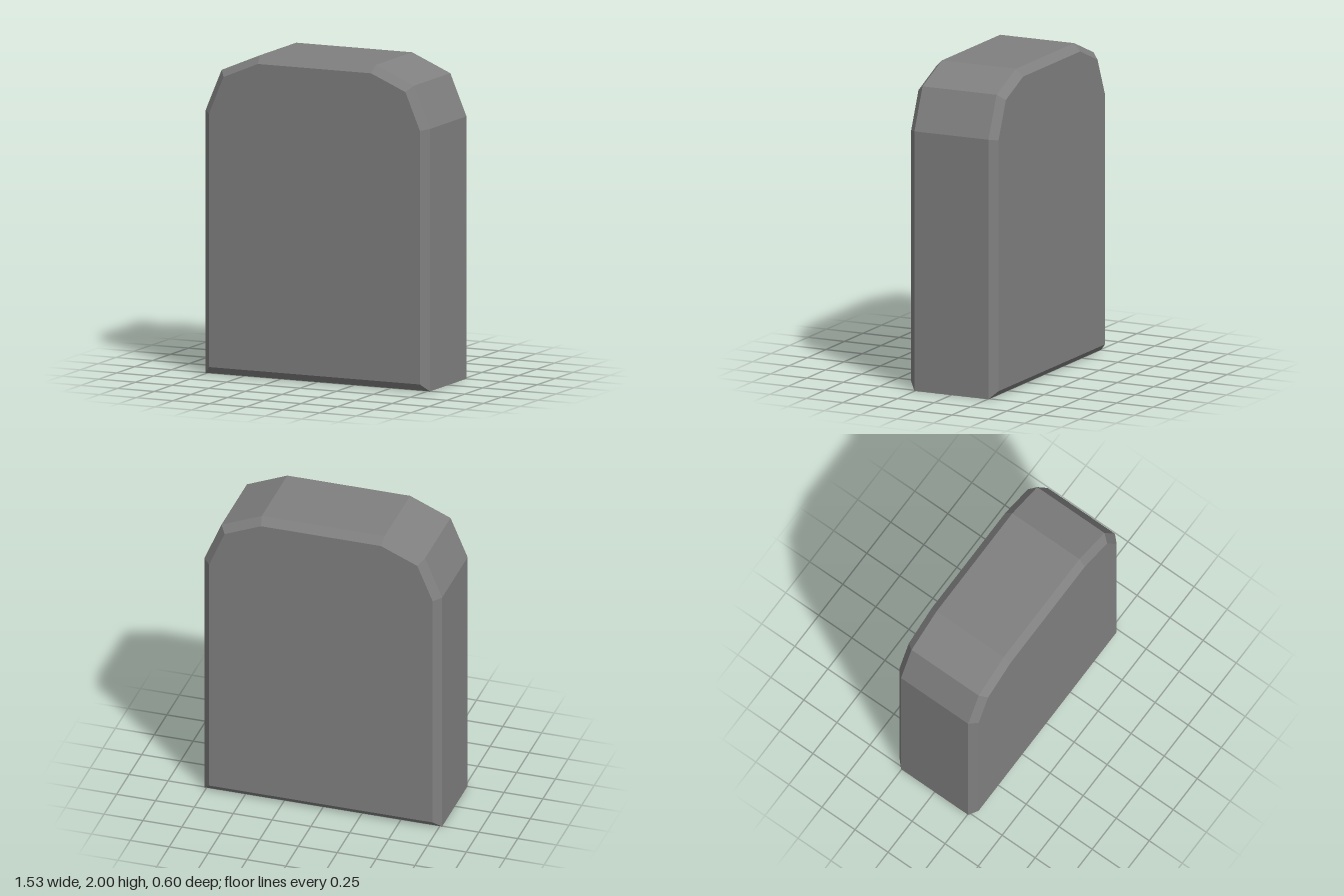
import * as THREE from 'three';

// Upright slab with a faceted arched top and chamfered front and back rims
export function createModel() {
  const group = new THREE.Group();
  group.name = 'archedSlab';

  const grey = new THREE.MeshStandardMaterial({ color: 0x808080, flatShading: true });
  grey.name = 'grey';

  // Right half of the outline, bottom to top, then mirrored
  const half = [[0.765, 0], [0.765, 1.63], [0.655, 1.89], [0.395, 2]];
  const mirrored = half.map(([x, y]) => [-x, y]).reverse();
  const outline = new THREE.Shape([...half, ...mirrored].map(([x, y]) => new THREE.Vector2(x, y)));

  // The bevel is offset inward so the outline stays the widest section
  const bevel = 0.046;
  const depth = 0.6 - 2 * bevel;
  const geometry = new THREE.ExtrudeGeometry(outline, {
    depth,
    bevelEnabled: true,
    bevelSegments: 1,
    bevelSize: bevel,
    bevelThickness: bevel,
    bevelOffset: -bevel,
  });
  geometry.translate(0, 0, -depth / 2);

  const slab = new THREE.Mesh(geometry, grey);
  slab.name = 'slab';
  group.add(slab);
  return group;
}
